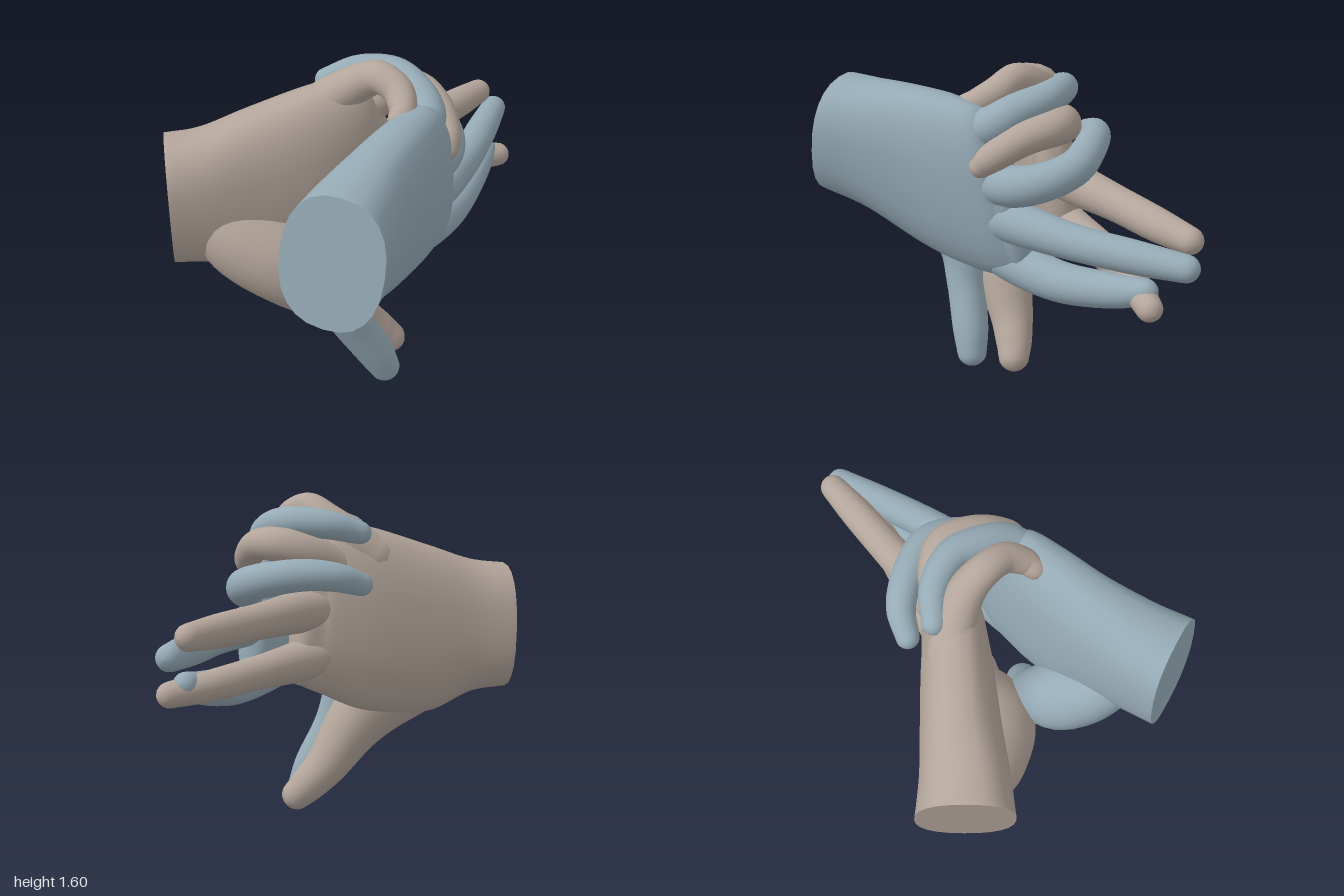
import * as THREE from 'three';

const V = (x, y, z) => new THREE.Vector3(x, y, z);
const SIDES = 24;

// Smooth closed skin through sections [x, y, z, halfHeight, halfThickness, leanX, leanZ].
// With ref set, rings stay square to the path; otherwise they follow the lean.
function loft(sections, { ref = null, power = 2, flatStart = false }) {
  const track = f => new THREE.CatmullRomCurve3(sections.map(f), false, 'catmullrom', 0.5);
  const path = track(s => V(s[0], s[1], s[2]));
  const size = track(s => V(s[3], s[4] ?? s[3], 0));
  const lean = track(s => V(s[5] ?? 0, 1, s[6] ?? 0));
  const n = (sections.length - 1) * 6;
  const pos = [], index = [];
  let rings = 0;

  function ring(t, scale, push) {
    const c = path.getPoint(t), d = path.getTangent(t), r = size.getPoint(t);
    const up = (ref ? ref.clone() : lean.getPoint(t)).normalize();
    if (ref) up.addScaledVector(d, -up.dot(d)).normalize();
    const side = d.clone().cross(up).normalize();
    c.addScaledVector(d, push * Math.min(r.x, r.y));
    for (let j = 0; j < SIDES; j++) {
      const a = j / SIDES * Math.PI * 2, cs = Math.cos(a), sn = Math.sin(a);
      const round = v => Math.sign(v) * Math.pow(Math.abs(v), 2 / power);
      const p = c.clone().addScaledVector(up, round(cs) * r.x * scale)
        .addScaledVector(side, round(sn) * r.y * scale);
      pos.push(p.x, p.y, p.z);
    }
    rings++;
  }
  // rounded ends
  const dome = [0.02, 0.3, 0.6, 0.9, 1.2].map(a => [Math.sin(a), Math.cos(a)]);
  if (!flatStart) dome.forEach(([s, c]) => ring(0, s, -c));
  for (let i = 0; i <= n; i++) ring(i / n, 1, 0);
  dome.reverse().forEach(([s, c]) => ring(1, s, c));

  for (let i = 0; i < rings - 1; i++) {
    for (let j = 0; j < SIDES; j++) {
      const k = (j + 1) % SIDES;
      const a = i * SIDES + j, b = i * SIDES + k, c = a + SIDES, d = b + SIDES;
      index.push(a, b, c, b, d, c);
    }
  }
  // flat end with its own vertices so the rim stays sharp
  if (flatStart) {
    const base = pos.length / 3;
    pos.push(...pos.slice(0, SIDES * 3));
    const c = path.getPoint(0);
    pos.push(c.x, c.y, c.z);
    for (let j = 0; j < SIDES; j++) index.push(base + SIDES, base + (j + 1) % SIDES, base + j);
  }
  const geo = new THREE.BufferGeometry();
  geo.setAttribute('position', new THREE.Float32BufferAttribute(pos, 3));
  geo.setIndex(index);
  geo.computeVertexNormals();
  return geo;
}

function hand(name, color, parts) {
  const group = new THREE.Group();
  group.name = name;
  const material = new THREE.MeshStandardMaterial({ color });
  for (const [part, sections] of Object.entries(parts)) {
    const options = part === 'palm' ? { power: 2.4, flatStart: true }
      : { ref: part === 'thumb' ? V(0.3, 0.2, 1) : V(0, 1, 0) };
    const mesh = new THREE.Mesh(loft(sections, options), material);
    mesh.name = part;
    group.add(mesh);
  }
  return group;
}

export function createModel() {
  const model = new THREE.Group();
  model.name = 'claspedHands';

  // Left hand: palm runs from the cut wrist to the knuckles
  model.add(hand('leftHand', 0x96abb6, {
    palm: [
      [0.52, 1.16, 0.925, 0.30, 0.225, 0.04, -0.17],
      [0.465, 1.13, 0.72, 0.335, 0.205, 0.08, -0.06],
      [0.41, 1.07, 0.45, 0.415, 0.185, 0.12, 0.05],
      [0.395, 1.06, 0.20, 0.435, 0.165, 0.1, 0.1],
      [0.395, 1.06, 0.01, 0.41, 0.13, 0.08, 0.14],
      [0.385, 1.01, -0.08, 0.33, 0.09, 0.08, 0.2],
    ],
    thumb: [
      [0.42, 0.99, 0.76, 0.11], [0.30, 0.87, 0.67, 0.16], [0.205, 0.75, 0.56, 0.174],
      [0.185, 0.58, 0.445, 0.125], [0.23, 0.39, 0.38, 0.098], [0.30, 0.19, 0.29, 0.09],
      [0.335, 0.08, 0.25, 0.075],
    ],
    indexFinger: [
      [0.34, 0.77, 0.16, 0.1], [0.35, 0.73, -0.07, 0.105], [0.335, 0.71, -0.33, 0.095],
      [0.295, 0.75, -0.60, 0.08], [0.27, 0.795, -0.76, 0.06],
    ],
    middleFinger: [
      [0.40, 0.96, 0.10, 0.1], [0.395, 0.965, -0.13, 0.1], [0.355, 0.955, -0.42, 0.082],
      [0.28, 0.95, -0.70, 0.076], [0.215, 0.95, -0.93, 0.062],
    ],
    ringFinger: [
      [0.42, 1.13, 0.10, 0.095], [0.405, 1.145, -0.11, 0.095], [0.32, 1.18, -0.24, 0.087],
      [0.18, 1.22, -0.295, 0.082], [0.0, 1.25, -0.235, 0.076], [-0.13, 1.24, -0.15, 0.068],
      [-0.20, 1.20, -0.04, 0.055],
    ],
    littleFinger: [
      [0.42, 1.33, 0.16, 0.09], [0.39, 1.39, 0.03, 0.09], [0.29, 1.45, -0.04, 0.082],
      [0.14, 1.48, -0.09, 0.075], [-0.02, 1.47, -0.045, 0.068], [-0.13, 1.43, 0.06, 0.055],
    ],
  }));

  // Right hand
  model.add(hand('rightHand', 0xb3a59b, {
    palm: [
      [-0.58, 0.95, 0.69, 0.31, 0.23, 0, 0],
      [-0.45, 0.95, 0.565, 0.335, 0.21, -0.03, -0.03],
      [-0.30, 0.94, 0.40, 0.42, 0.19, -0.04, -0.04],
      [-0.10, 1.00, 0.17, 0.455, 0.165, 0, 0],
      [0.03, 1.06, 0.0, 0.41, 0.125, 0.02, 0.12],
      [0.07, 1.02, -0.09, 0.32, 0.09, 0, 0.2],
    ],
    thumb: [
      [-0.43, 0.88, 0.60, 0.14], [-0.27, 0.745, 0.535, 0.19], [-0.08, 0.61, 0.42, 0.2],
      [0.045, 0.43, 0.295, 0.15], [0.125, 0.24, 0.17, 0.11], [0.19, 0.14, 0.095, 0.092],
      [0.235, 0.085, 0.055, 0.078],
    ],
    indexFinger: [
      [-0.02, 0.87, 0.07, 0.1], [0.06, 0.83, -0.14, 0.1], [0.12, 0.81, -0.40, 0.08],
      [0.21, 0.78, -0.64, 0.073], [0.315, 0.755, -0.82, 0.06],
    ],
    middleFinger: [
      [0.02, 1.07, 0.04, 0.1], [0.065, 1.065, -0.17, 0.1], [0.09, 1.055, -0.45, 0.083],
      [0.12, 1.045, -0.70, 0.077], [0.14, 1.04, -0.89, 0.062],
    ],
    ringFinger: [
      [-0.02, 1.26, 0.05, 0.1], [0.07, 1.34, -0.11, 0.092], [0.19, 1.38, -0.185, 0.082],
      [0.34, 1.36, -0.13, 0.075], [0.45, 1.29, -0.05, 0.068], [0.485, 1.24, 0.0, 0.055],
    ],
    littleFinger: [
      [-0.15, 1.30, 0.18, 0.11], [-0.05, 1.39, 0.11, 0.1], [0.06, 1.475, 0.07, 0.087],
      [0.17, 1.535, 0.075, 0.075], [0.28, 1.505, 0.09, 0.07], [0.345, 1.46, 0.15, 0.062],
      [0.36, 1.44, 0.20, 0.052],
    ],
  }));

  return model;
}
